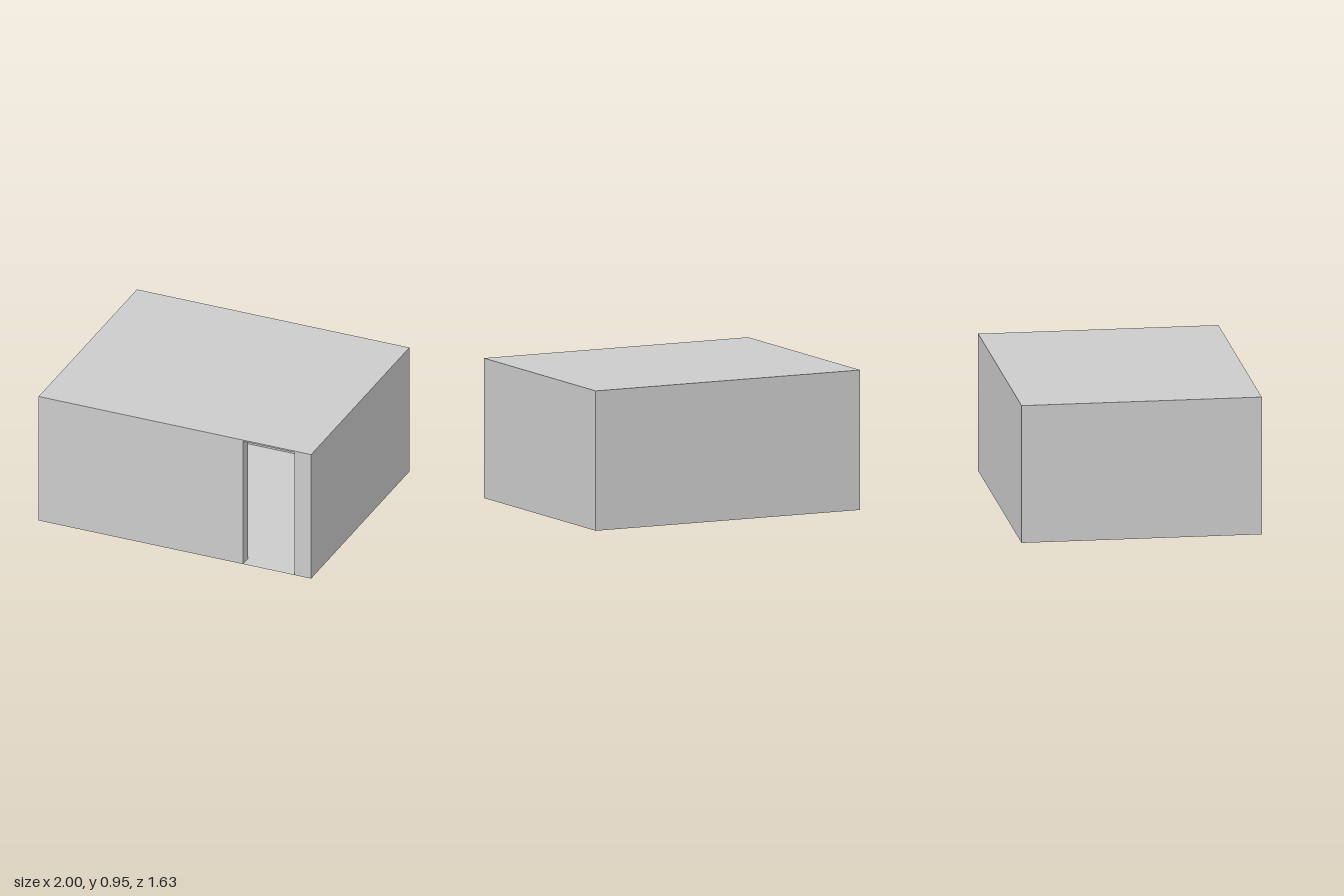
import * as THREE from 'three';

const material = new THREE.MeshStandardMaterial({ color: 0xcccccc, side: THREE.DoubleSide });
const HEIGHT = 0.95, CEILING = 0.94, SKIRTING = 0.055;
const X = 1, Z = 0.815;             // outer half sizes
const IX = 0.905, IZ = 0.73;        // inner half sizes
const DOOR = [0.5, 0.88];           // door opening along x
const SHAFT = [-0.717, -0.486];     // inner corner of the corner shaft (x, z)

function addMesh(parent, name, geometry) {
  const mesh = new THREE.Mesh(geometry, material);
  mesh.name = name;
  parent.add(mesh);
  return mesh;
}

// upright panels along a plan path of [x, z] points
function addWalls(parent, name, path, y0, y1) {
  const walls = new THREE.Group();
  walls.name = name;
  for (let i = 0; i < path.length - 1; i++) {
    const [ax, az] = path[i], [bx, bz] = path[i + 1];
    const dx = bx - ax, dz = bz - az;
    const panel = addMesh(walls, name + 'Panel', new THREE.PlaneGeometry(Math.hypot(dx, dz), y1 - y0));
    panel.rotation.y = Math.atan2(-dz, dx);
    panel.position.set((ax + bx) / 2, (y0 + y1) / 2, (az + bz) / 2);
  }
  parent.add(walls);
}

// flat slab surface with the outline of a plan path
function addPlan(parent, name, path, y, down = false) {
  const shape = new THREE.Shape(path.map(([x, z]) => new THREE.Vector2(x, down ? z : -z)));
  const mesh = addMesh(parent, name, new THREE.ShapeGeometry(shape));
  mesh.rotation.x = down ? Math.PI / 2 : -Math.PI / 2;
  mesh.position.y = y;
}

export function createModel() {
  const model = new THREE.Group();
  model.name = 'room';

  // outer shell: front with doorway, three plain walls, roof
  const front = new THREE.Shape([
    [-X, 0], [DOOR[0], 0], [DOOR[0], CEILING], [DOOR[1], CEILING],
    [DOOR[1], 0], [X, 0], [X, HEIGHT], [-X, HEIGHT],
  ].map(([x, y]) => new THREE.Vector2(x, y)));
  addMesh(model, 'frontWall', new THREE.ShapeGeometry(front)).position.z = Z;
  addWalls(model, 'outerWall', [[X, Z], [X, -Z], [-X, -Z], [-X, Z]], 0, HEIGHT);
  addPlan(model, 'roof', [[-X, Z], [X, Z], [X, -Z], [-X, -Z]], HEIGHT);

  // room outline, from one door jamb round to the other
  const room = [
    [DOOR[0], Z], [DOOR[0], IZ], [-IX, IZ], [-IX, SHAFT[1]], [SHAFT[0], SHAFT[1]],
    [SHAFT[0], -IZ], [IX, -IZ], [IX, IZ], [DOOR[1], IZ], [DOOR[1], Z],
  ];
  addPlan(model, 'floor', room, 0);
  addWalls(model, 'skirting', room, 0, SKIRTING);
  addWalls(model, 'innerWall', room, SKIRTING, CEILING);
  addPlan(model, 'ceiling', room, CEILING, true);

  // hidden sides of the corner shaft
  addWalls(model, 'shaftWall', [[-IX, SHAFT[1]], [-IX, -IZ], [SHAFT[0], -IZ]], 0, CEILING);

  return model;
}
